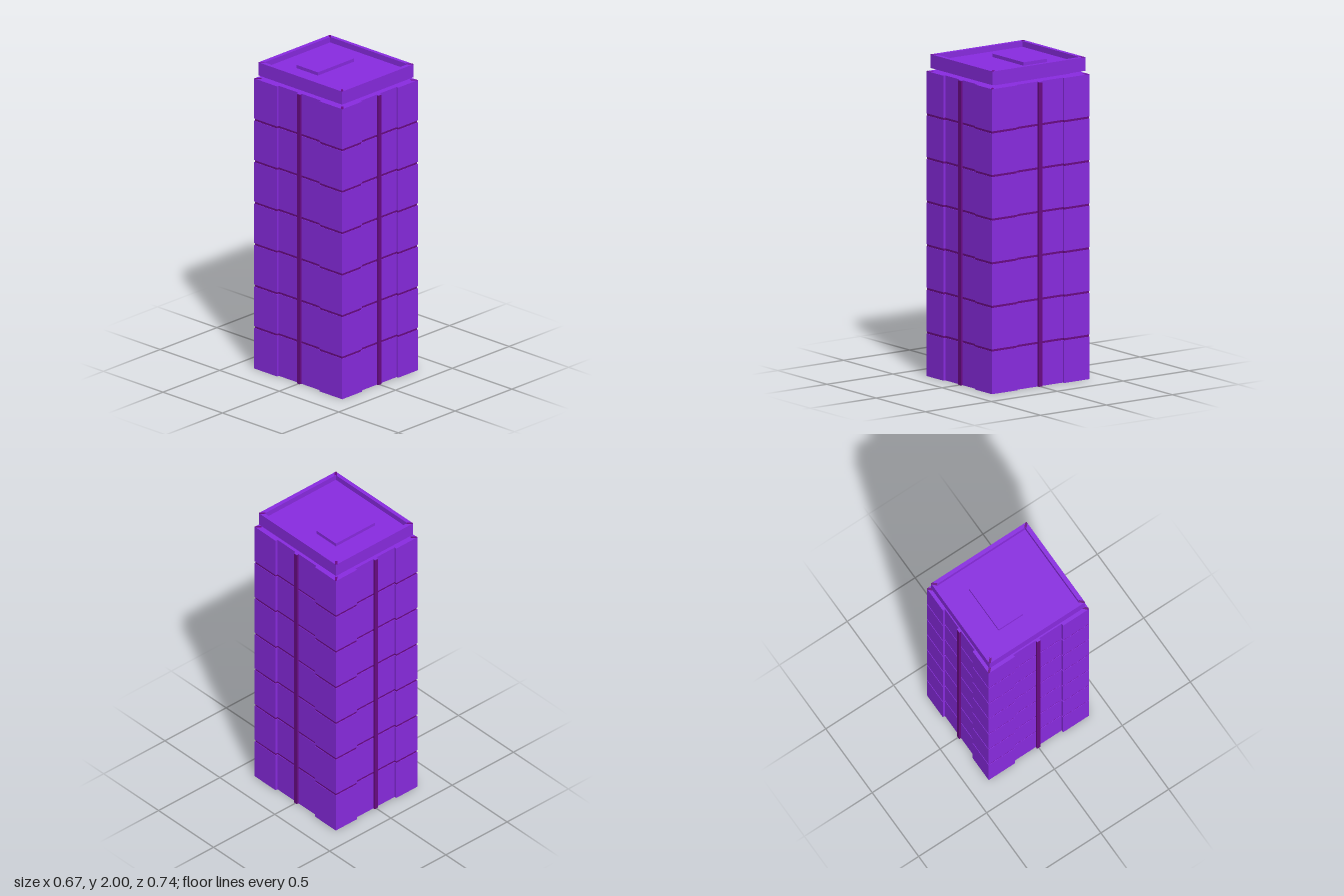
import * as THREE from 'three';

const wall = new THREE.MeshStandardMaterial({ color: 0x8a2be2, flatShading: true });
const trim = new THREE.MeshStandardMaterial({ color: 0x6a0a85, flatShading: true });

const HX = 0.333, HZ = 0.37;        // half plan at the corner piers
const BODY = 1.895, TOP = 2;
const FLOORS = 7, STOREY = 0.271, GAP = 0.014;

function add(parent, name, geometry, material, x = 0, y = 0, z = 0) {
  const mesh = new THREE.Mesh(geometry, material);
  mesh.name = name;
  mesh.position.set(x, y, z);
  parent.add(mesh);
  return mesh;
}

function box(parent, name, material, w, h, d, x, y, z) {
  return add(parent, name, new THREE.BoxGeometry(w, h, d), material, x, y, z);
}

// Extrudes a plan upward by the given height
function prism(shape, height) {
  return new THREE.ExtrudeGeometry(shape, { depth: height, bevelEnabled: false }).rotateX(-Math.PI / 2);
}

// Plan with projecting corner piers and a shallow recessed bay on each side
function towerPlan(inset) {
  const x = HX - inset, z = HZ - inset, bx = 0.318 - inset, bz = 0.355 - inset;
  const px = 0.16 + inset, pz = 0.178 + inset;
  const quarter = [[bx, pz], [x, pz], [x, z], [px, z], [px, bz]];
  const flip = (sx, sz) => quarter.map(([a, b]) => new THREE.Vector2(a * sx, b * sz));
  return new THREE.Shape([
    ...flip(1, 1), ...flip(-1, 1).reverse(), ...flip(-1, -1), ...flip(1, -1).reverse(),
  ]);
}

function rectangle(target, x, z) {
  target.moveTo(-x, -z);
  target.lineTo(x, -z);
  target.lineTo(x, z);
  target.lineTo(-x, z);
  target.closePath();
  return target;
}

export function createModel() {
  const model = new THREE.Group();
  model.name = 'tower';

  // Storeys separated by dark, slightly recessed joints
  const storeys = new THREE.Group();
  storeys.name = 'storeys';
  model.add(storeys);
  for (let i = 0; i < FLOORS; i++) {
    const bottom = i === 0 ? 0 : i * STOREY + GAP / 2;
    const top = i === FLOORS - 1 ? BODY : (i + 1) * STOREY - GAP / 2;
    add(storeys, 'storey', prism(towerPlan(0), top - bottom), wall, 0, bottom, 0);
    if (i < FLOORS - 1) add(storeys, 'floorJoint', prism(towerPlan(0.003), GAP), trim, 0, top, 0);
  }

  // Central mullion on each side, with a wall-coloured cap
  for (const s of [-1, 1]) {
    box(model, 'mullion', trim, 0.026, BODY - 0.005, 0.03, 0, (BODY - 0.005) / 2, s * 0.353);
    box(model, 'mullionCap', wall, 0.026, 0.005, 0.03, 0, BODY - 0.0025, s * 0.353);
    box(model, 'mullion', trim, 0.03, BODY - 0.005, 0.026, s * 0.317, (BODY - 0.005) / 2, 0);
    box(model, 'mullionCap', wall, 0.03, 0.005, 0.026, s * 0.317, BODY - 0.0025, 0);
  }

  // Set-back neck, roof deck and parapet ring
  box(model, 'neck', wall, 0.5, 0.024, 0.57, 0, 1.905, 0);
  box(model, 'roofDeck', wall, 0.6, 0.05, 0.67, 0, 1.94, 0);
  const ring = rectangle(new THREE.Shape(), 0.315, 0.352);
  ring.holes.push(rectangle(new THREE.Path(), 0.29, 0.325));
  add(model, 'parapet', prism(ring, TOP - 1.915), wall, 0, 1.915, 0);
  box(model, 'roofBox', wall, 0.32, 0.022, 0.178, 0, 1.975, -0.089);

  // Diagonal mitre strips on the parapet and body corners
  const strip = (x0, z0, x1, z1, w) => new THREE.Shape([
    new THREE.Vector2(x0, z0), new THREE.Vector2(x0, z0 - w),
    new THREE.Vector2(x1, z1 - w), new THREE.Vector2(x1, z1),
    new THREE.Vector2(x1 - w, z1), new THREE.Vector2(x0 - w, z0),
  ]);
  for (const sx of [-1, 1]) {
    for (const sz of [-1, 1]) {
      const corner = (name, a, y) => {
        const points = strip(...a).getPoints().map(p => new THREE.Vector2(p.x * sx, p.y * sz));
        add(model, name, prism(new THREE.Shape(points), 0.001), trim, 0, y, 0);
      };
      corner('parapetMitre', [0.29, 0.327, 0.315, 0.352, 0.01], TOP - 0.0005);
      corner('bodyMitre', [0.305, 0.342, HX, HZ, 0.01], BODY - 0.0005);
    }
  }
  return model;
}
